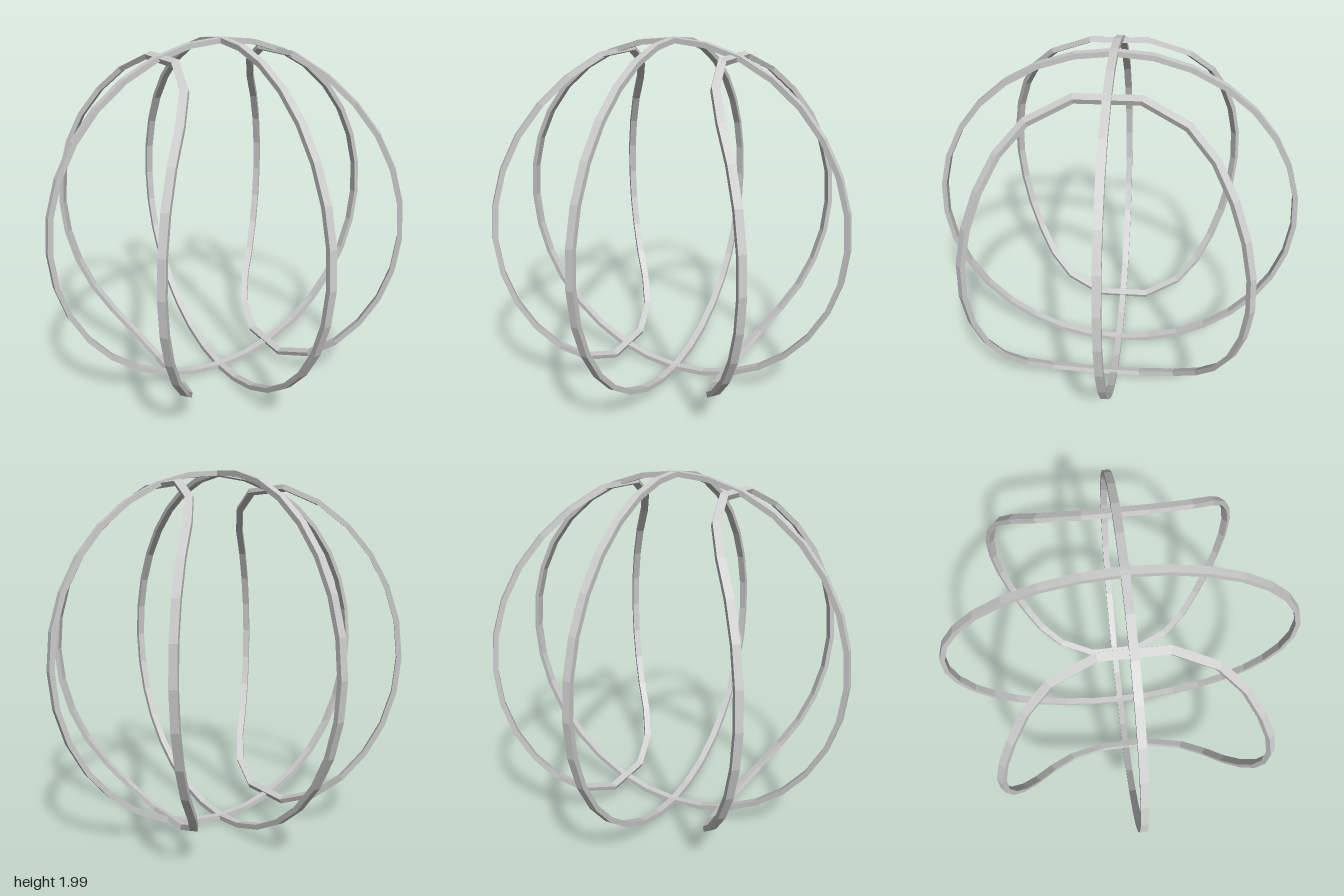
import * as THREE from 'three';

const OUTER = 0.995, INNER = 0.968, HALF_WIDTH = 0.02;
const STEP = Math.PI / 16; // angle between ring corners

// Closed band of rectangular section following unit directions on a sphere
function bandGeometry(dirs) {
  const n = dirs.length, pos = [], index = [];
  dirs.forEach((d, i) => {
    const tangent = dirs[(i + 1) % n].clone().sub(dirs[(i + n - 1) % n]);
    const side = tangent.cross(d).normalize();
    for (const [r, s] of [[OUTER, 1], [OUTER, -1], [INNER, -1], [INNER, 1]]) {
      const p = d.clone().multiplyScalar(r).addScaledVector(side, s * HALF_WIDTH);
      pos.push(p.x, p.y, p.z);
    }
    const next = ((i + 1) % n) * 4;
    for (let j = 0; j < 4; j++) {
      const k = (j + 1) % 4;
      const a = i * 4 + j, b = i * 4 + k, c = next + k, e = next + j;
      index.push(a, e, c, a, c, b);
    }
  });
  const g = new THREE.BufferGeometry();
  g.setAttribute('position', new THREE.Float32BufferAttribute(pos, 3));
  g.setIndex(index);
  const flat = g.toNonIndexed();
  flat.computeVertexNormals();
  return flat;
}

// Direction from latitude and azimuth (azimuth measured from +x towards +z)
const direction = (lat, az) => new THREE.Vector3(
  Math.cos(lat) * Math.cos(az), Math.sin(lat), Math.cos(lat) * Math.sin(az));

export function createModel() {
  const group = new THREE.Group();
  group.name = 'ballSeamFrame';
  const material = new THREE.MeshStandardMaterial({ color: 0xcccccc, flatShading: true });
  const add = (name, dirs) => {
    const mesh = new THREE.Mesh(bandGeometry(dirs), material);
    mesh.name = name;
    group.add(mesh);
  };

  // Two full rings crossing at the poles
  const ring = (az) => Array.from({ length: 32 }, (_, i) => direction(i * STEP, az));
  add('crosswiseRing', ring(0));
  add('lengthwiseRing', ring(Math.PI / 2));

  // Oval side seams: follow the 45 degree meridian, then curl over near the top
  const azimuths = [45, 45, 45, 45, 45, 42, 24.4];
  const quarter = azimuths.map((a, k) => direction(k * STEP, THREE.MathUtils.degToRad(a)));
  const flip = (list, x, y, z) => list.map((d) => new THREE.Vector3(d.x * x, d.y * y, d.z * z));
  const back = [...quarter].reverse();
  const oval = [
    ...quarter,
    ...flip(back, 1, 1, -1),
    ...flip(quarter.slice(1), 1, -1, -1),
    ...flip(back.slice(0, -1), 1, -1, 1),
  ];
  add('leftSeam', oval);
  add('rightSeam', flip(oval, -1, 1, 1));

  // Slight forward lean, resting on the ground
  group.rotation.x = 0.014;
  group.position.y = 0.997;
  return group;
}
